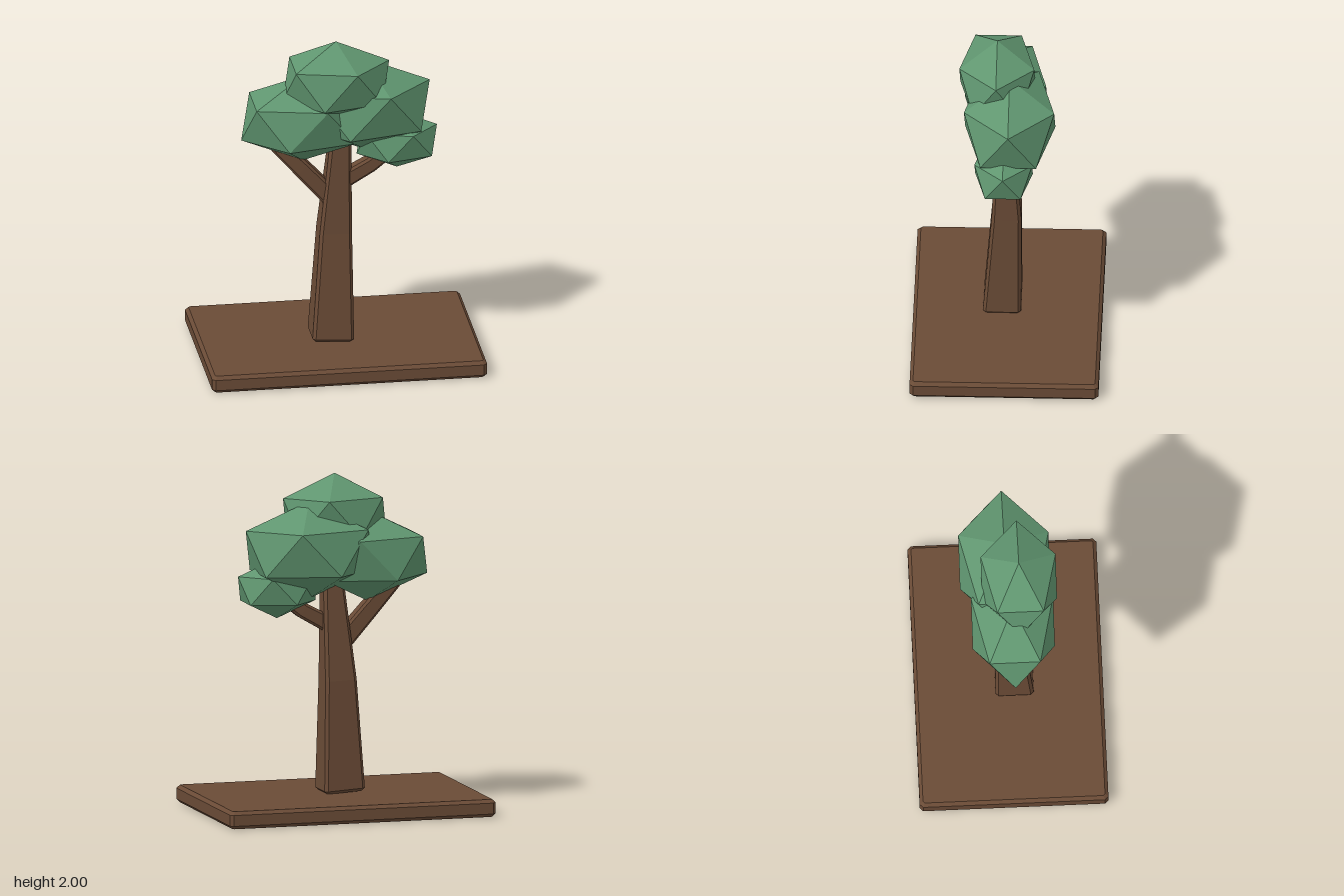
import * as THREE from 'three';

const foliageGreen = new THREE.MeshStandardMaterial({ color: 0x609670 });
const barkBrown = new THREE.MeshStandardMaterial({ color: 0x6a4b36 });
foliageGreen.name = 'foliageGreen';
barkBrown.name = 'barkBrown';
foliageGreen.flatShading = barkBrown.flatShading = true;

// Chamfered rectangle: centre x,y,z, half width w, half depth d, corner cut c, tilt about z
function ring({ x, y, z, w, d, c, tilt = 0 }) {
  return [
    [w, d - c], [w, c - d], [w - c, -d], [c - w, -d],
    [-w, c - d], [-w, d - c], [c - w, d], [w - c, d],
  ].map(([a, b]) => new THREE.Vector3(x + a * Math.cos(tilt), y + a * Math.sin(tilt), z + b));
}

// Skin through the sections, with chamfered end caps
function loft(name, sections, c) {
  const n = sections.length;
  const endCap = (s, dir) => ({
    ...s, c: c * 0.5, w: s.w - c, d: s.d - c,
    x: s.x - Math.sin(s.tilt ?? 0) * c * dir, y: s.y + Math.cos(s.tilt ?? 0) * c * dir,
  });
  const body = sections.map((s) => ({ ...s, c }));
  const rings = [endCap(sections[0], -1), ...body, endCap(sections[n - 1], 1)].map(ring);
  const pos = [];
  const tri = (...pts) => pts.forEach((p) => pos.push(p.x, p.y, p.z));
  for (let k = 0; k < rings.length - 1; k++) {
    const lo = rings[k], hi = rings[k + 1];
    for (let i = 0; i < 8; i++) {
      const j = (i + 1) % 8;
      tri(lo[i], lo[j], hi[j]);
      tri(lo[i], hi[j], hi[i]);
    }
  }
  const first = rings[0], last = rings[rings.length - 1];
  for (let i = 1; i < 7; i++) {
    tri(first[0], first[i + 1], first[i]);
    tri(last[0], last[i], last[i + 1]);
  }
  const geo = new THREE.BufferGeometry();
  geo.setAttribute('position', new THREE.Float32BufferAttribute(pos, 3));
  geo.computeVertexNormals();
  const mesh = new THREE.Mesh(geo, barkBrown);
  mesh.name = name;
  return mesh;
}

// Stretched icosahedron standing on one of its points
function leafClump(name, centre, radii) {
  const geo = new THREE.IcosahedronGeometry(1, 0);
  geo.rotateZ(-Math.atan(2 / (1 + Math.sqrt(5))));
  geo.scale(...radii);
  geo.computeVertexNormals();
  const mesh = new THREE.Mesh(geo, foliageGreen);
  mesh.name = name;
  mesh.position.set(...centre);
  return mesh;
}

export function createModel() {
  const tree = new THREE.Group();
  tree.name = 'tree';

  // Ground slab
  tree.add(loft('groundSlab', [
    { x: 0, y: 0.02, z: 0, w: 0.82, d: 0.557 },
    { x: 0, y: 0.085, z: 0, w: 0.82, d: 0.557 },
  ], 0.02));

  // Tapering, slightly bent trunk
  tree.add(loft('trunk', [
    { x: -0.035, y: 0.126, z: 0.033, w: 0.124, d: 0.113, tilt: -0.06 },
    { x: -0.012, y: 0.78, z: 0.007, w: 0.096, d: 0.088, tilt: -0.04 },
    { x: 0.02, y: 1.35, z: 0.017, w: 0.064, d: 0.055, tilt: -0.06 },
  ], 0.018));

  // Bent branches
  tree.add(loft('rightBranch', [
    { x: -0.03, y: 0.99, z: 0.02, w: 0.055, d: 0.05, tilt: 0.72 },
    { x: -0.21, y: 1.19, z: 0.02, w: 0.052, d: 0.047, tilt: 0.75 },
    { x: -0.36, y: 1.35, z: 0.02, w: 0.045, d: 0.04, tilt: 0.8 },
  ], 0.014));
  tree.add(loft('leftBranch', [
    { x: 0.03, y: 1.1, z: 0.03, w: 0.05, d: 0.045, tilt: -1.08 },
    { x: 0.2, y: 1.195, z: 0.03, w: 0.046, d: 0.042, tilt: -1.0 },
    { x: 0.33, y: 1.29, z: 0.03, w: 0.04, d: 0.036, tilt: -0.9 },
  ], 0.014));

  // Foliage
  tree.add(
    leafClump('topFoliage', [-0.01, 1.75, 0.063], [0.355, 0.25, 0.26]),
    leafClump('rightFoliage', [-0.2, 1.505, 0.02], [0.412, 0.27, 0.285]),
    leafClump('leftFoliage', [0.17, 1.56, -0.015], [0.437, 0.29, 0.313]),
    leafClump('lowerLeftFoliage', [0.36, 1.335, 0.015], [0.268, 0.178, 0.2]),
  );
  return tree;
}
